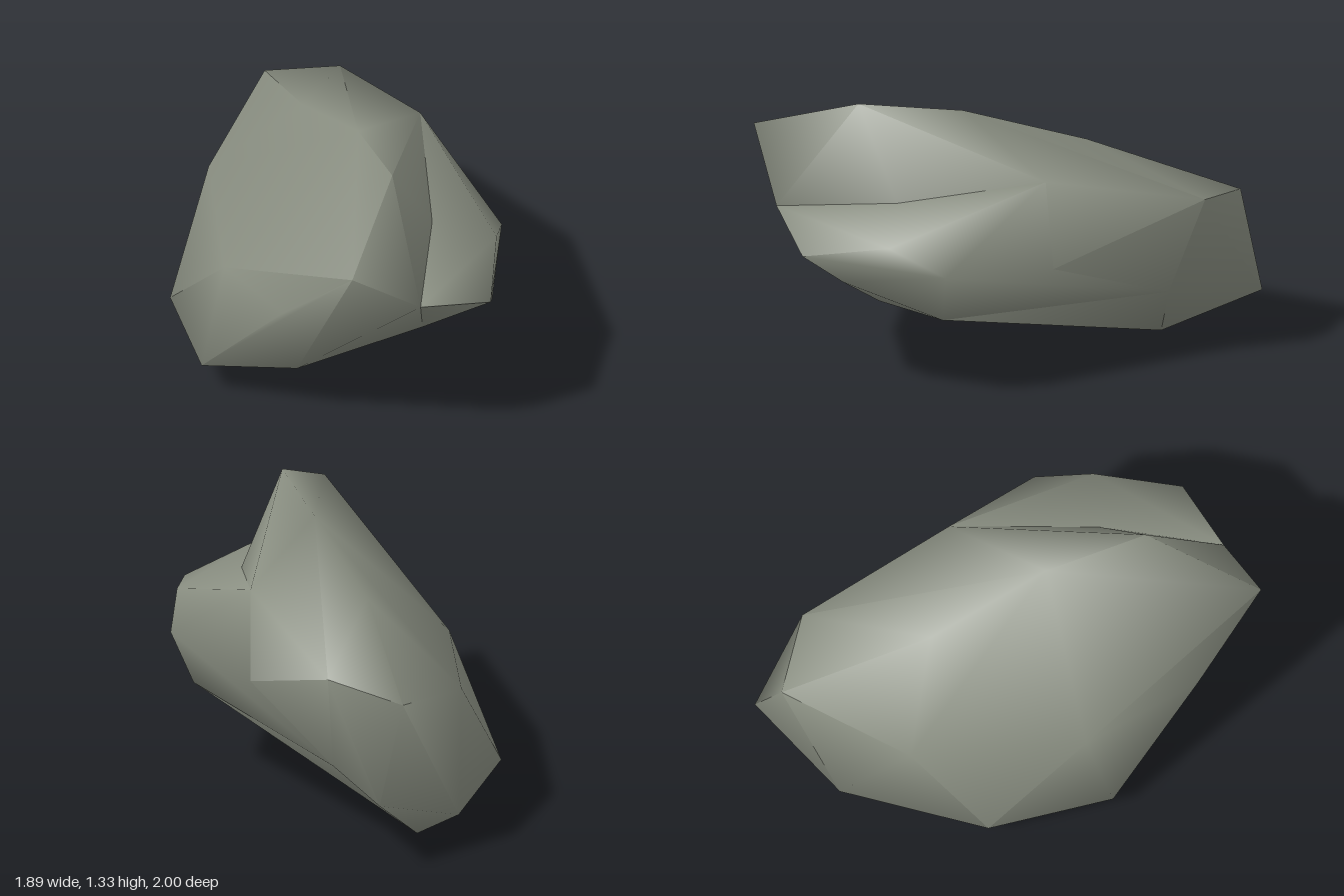
import * as THREE from 'three';
import { toCreasedNormals } from 'three/addons/utils/BufferGeometryUtils.js';
import { ConvexGeometry } from 'three/addons/geometries/ConvexGeometry.js';

// Corners shared by several lobes
const BACK_TOP = [-0.48, 0.88, -0.91];
const BACK_LEFT = [-0.84, 0.79, -0.84];
const FLANK_LOW = [-0.95, 0.14, -0.48];
const FOOT = [-0.72, 0.00, -0.46];
const DENT = [-0.42, 0.38, -0.74];
const RIDGE_END = [0.16, 1.07, -0.46];
const LIP = [0.73, 0.83, 0.70];
const BELLY_FRONT = [0.52, 0.39, 0.25];
const BELLY_BACK = [0.60, 0.44, -0.19];

// Long body of the rock
const BODY = [
  BACK_TOP, BACK_LEFT, FLANK_LOW, FOOT, DENT,
  // left flank and foot
  [-0.81, 0.65, -0.18], [-0.81, 0.155, 0.23], [-0.42, 0.16, 0.69],
  // upper ridge
  RIDGE_END, [-0.37, 1.06, -0.29], [0.10, 1.27, 0.08], [0.45, 1.33, 0.43],
  // front face
  [0.52, 1.10, 1.00], [0.10, 0.72, 0.88], [-0.38, 0.63, 0.53], [0.06, 0.26, 0.65],
  // right side
  LIP, BELLY_FRONT, BELLY_BACK,
];

// Spur at the back end, sticking out past the dent
const SPUR = [BACK_TOP, BACK_LEFT, FLANK_LOW, FOOT, DENT, [-0.80, 0.33, -1.00]];

// Ledge jutting out of the right side, leaving a hollow below the ridge
const LEDGE = [
  RIDGE_END, LIP, BELLY_FRONT, BELLY_BACK, DENT,
  [0.94, 0.73, 0.38], [0.78, 0.82, -0.01], [0.68, 0.705, -0.27], [0.86, 0.62, 0.20],
];

// Stone lobe with rounded shading, only the very sharpest edges kept
function lobe(name, corners, material) {
  const hull = new ConvexGeometry(corners.map((c) => new THREE.Vector3(...c)));
  const mesh = new THREE.Mesh(toCreasedNormals(hull, 1.7), material);
  mesh.name = name;
  return mesh;
}

export function createModel() {
  const stone = new THREE.MeshStandardMaterial({ color: 0x8a8f82 });
  stone.name = 'mossy grey stone';

  const group = new THREE.Group();
  group.name = 'rock';
  group.add(
    lobe('body', BODY, stone),
    lobe('backSpur', SPUR, stone),
    lobe('sideLedge', LEDGE, stone),
  );
  return group;
}
